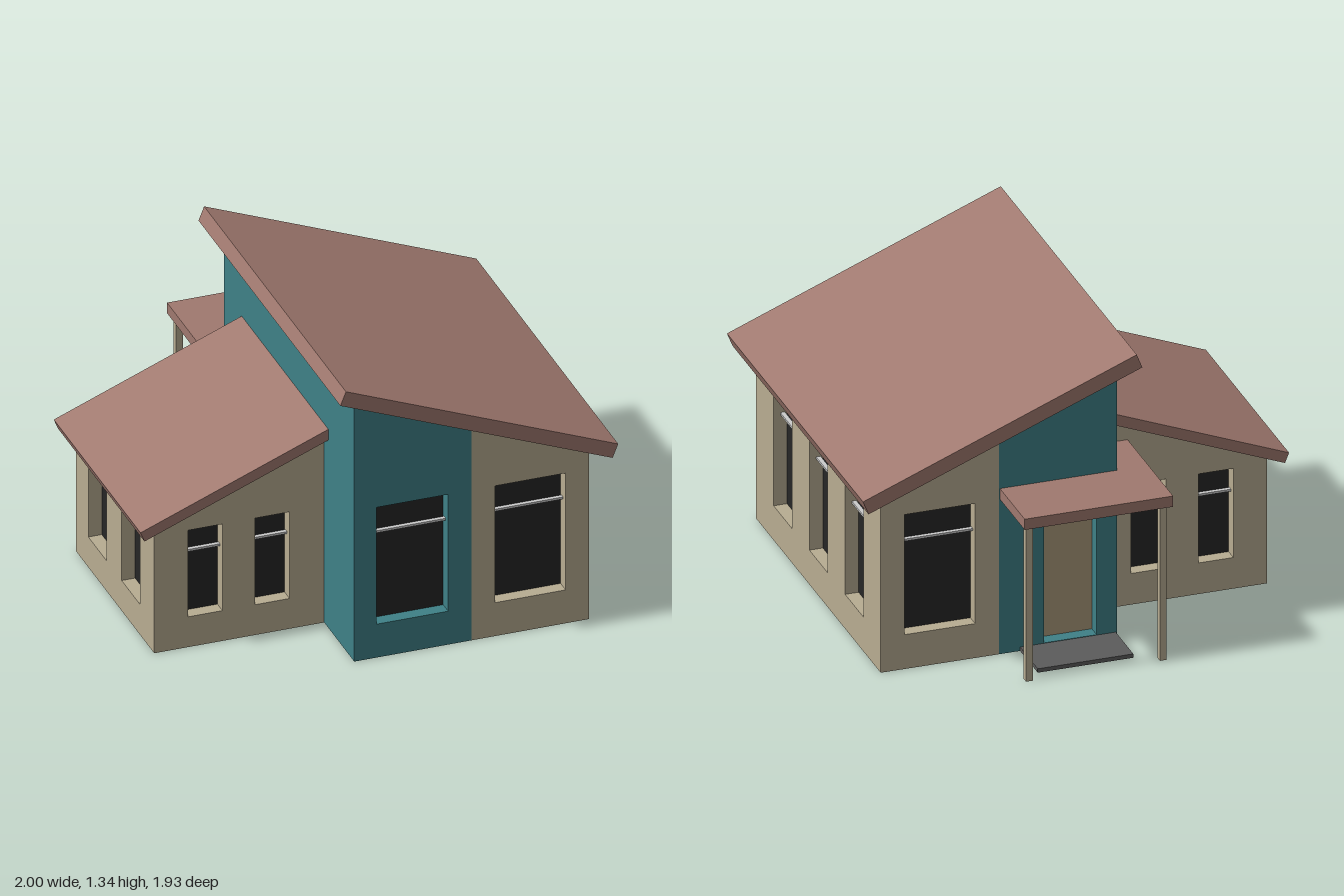
import * as THREE from 'three';

const mat = (color) => new THREE.MeshStandardMaterial({ color, side: THREE.DoubleSide, flatShading: true });
const RECESS = 0.06;

export function createModel() {
  const house = new THREE.Group();
  house.name = 'house';
  const beige = mat(0xb8ad92), teal = mat(0x3f8187), roofMat = mat(0xa0796f);
  const glass = mat(0x262626), bar = mat(0xcccccc), slabMat = mat(0x5c5c5c), doorMat = mat(0xab9a7b);

  const add = (parent, name, geometry, material, x = 0, y = 0, z = 0) => {
    const mesh = new THREE.Mesh(geometry, material);
    mesh.name = name;
    mesh.position.set(x, y, z);
    parent.add(mesh);
    return mesh;
  };
  const shapeOf = (pts) => new THREE.Shape(pts.map(([x, y]) => new THREE.Vector2(x, y)));
  const box = (name, material, x0, x1, y0, y1, z0, z1) =>
    add(house, name, new THREE.BoxGeometry(x1 - x0, y1 - y0, z1 - z0), material,
      (x0 + x1) / 2, (y0 + y1) / 2, (z0 + z1) / 2);

  // Open square sleeve that lines each opening
  const sleeve = new THREE.CylinderGeometry(Math.SQRT1_2, Math.SQRT1_2, 1, 4, 1, true)
    .rotateY(Math.PI / 4).rotateX(Math.PI / 2);

  // Recessed opening with a glass pane and transom, or a door leaf
  const opening = (wall, material, { u0, u1, y0, y1, transom }) => {
    const x = (u0 + u1) / 2, y = (y0 + y1) / 2, w = u1 - u0, h = y1 - y0;
    add(wall, 'reveal', sleeve, material, x, y, -RECESS / 2).scale.set(w, h, RECESS);
    add(wall, transom ? 'windowGlass' : 'doorLeaf', new THREE.PlaneGeometry(w, h),
      transom ? glass : doorMat, x, y, -RECESS);
    if (transom) add(wall, 'transomBar', new THREE.BoxGeometry(w, 0.01, 0.02), bar, x, transom, -0.04);
  };

  // Flat wall seen from its outer side: outline and openings in (u, y)
  const wall = (name, material, pts, openings, x, z, turn) => {
    const group = new THREE.Group();
    group.name = name;
    group.position.set(x, 0, z);
    group.rotation.y = turn;
    const shape = shapeOf(pts);
    for (const o of openings) {
      shape.holes.push(new THREE.Path([[o.u0, o.y0], [o.u0, o.y1], [o.u1, o.y1], [o.u1, o.y0]]
        .map(([u, y]) => new THREE.Vector2(u, y))));
      opening(group, material, o);
    }
    add(group, name + 'Panel', new THREE.ShapeGeometry(shape), material);
    house.add(group);
  };
  const bigWin = (u0, u1) => ({ u0, u1, y0: 0.16, y1: 0.72, transom: 0.585 });
  const smallWin = (u0, u1) => ({ u0, u1, y0: 0.145, y1: 0.56, transom: 0.445 });
  const flip = (o) => ({ ...o, u0: -o.u1, u1: -o.u0 });

  // Underside lines of the two sloping roofs
  const mainTop = (x) => 1.275 - 0.399 * (x + 0.245);
  const wingTop = (x) => 0.575 + 0.396 * (x + 0.98);

  // A front wall and its back twin, topped by a slope
  const gable = (name, material, x0, x1, top, zFront, zBack, front, back) => {
    wall(name + 'Front', material, [[x0, 0], [x1, 0], [x1, top(x1)], [x0, top(x0)]], front, 0, zFront, 0);
    wall(name + 'Back', material, [[-x1, 0], [-x0, 0], [-x0, top(x0)], [-x1, top(x1)]],
      back.map(flip), 0, zBack, Math.PI);
  };
  const rect = (u0, u1, h) => [[u0, 0], [u1, 0], [u1, h], [u0, h]];

  // Main block
  const door = { u0: -0.07, u1: 0.165, y0: 0.02, y1: 0.715 };
  const mainWin = bigWin(0.47, 0.785);
  gable('tealWall', teal, -0.16, 0.365, mainTop, 0.9, -0.66, [bigWin(-0.06, 0.26)], [door]);
  gable('mainWall', beige, 0.365, 0.89, mainTop, 0.9, -0.66, [mainWin], [mainWin]);
  wall('mainSideWall', beige, rect(-0.9, 0.66, mainTop(0.89)),
    [-0.565, -0.117, 0.33].map((c) => bigWin(c - 0.115, c + 0.115)), 0.89, 0, Math.PI / 2);
  wall('tealSideWall', teal, rect(-0.66, 0.9, mainTop(-0.16)), [], -0.16, 0, -Math.PI / 2);

  // Lower wing
  const wingWins = [smallWin(-0.77, -0.615), smallWin(-0.47, -0.315)];
  gable('wingWall', beige, -0.92, -0.16, wingTop, 0.54, -0.4, wingWins, wingWins);
  wall('wingSideWall', beige, rect(-0.4, 0.54, wingTop(-0.92)),
    [smallWin(-0.25, -0.03), smallWin(0.15, 0.37)], -0.92, 0, -Math.PI / 2);

  // Sloping roofs, extruded along z
  const roof = (name, pts, z0, z1) =>
    add(house, name, new THREE.ExtrudeGeometry(shapeOf(pts), { depth: z1 - z0, bevelEnabled: false }),
      roofMat, 0, 0, z0);
  roof('mainRoof', [[-0.245, 1.275], [0.972, 0.789], [0.997, 0.851], [-0.22, 1.338]], -0.74, 0.962);
  roof('wingRoof', [[-0.982, 0.574], [-0.16, 0.9], [-0.16, 0.952], [-1, 0.619]], -0.45, 0.59);

  // Porch: roof wrapping the corner, two posts and a step
  const porch = shapeOf([[-0.3, 0.4], [-0.16, 0.4], [-0.16, 0.66], [0.36, 0.66], [0.36, 0.97], [-0.3, 0.97]]);
  add(house, 'porchRoof', new THREE.ExtrudeGeometry(porch, { depth: 0.05, bevelEnabled: false })
    .rotateX(-Math.PI / 2), roofMat, 0, 0.722, 0);
  for (const x of [-0.265, 0.33]) box('porchPost', beige, x - 0.015, x + 0.015, 0, 0.722, -0.945, -0.915);
  box('porchStep', slabMat, -0.155, 0.27, 0, 0.018, -0.88, -0.66);

  return house;
}
